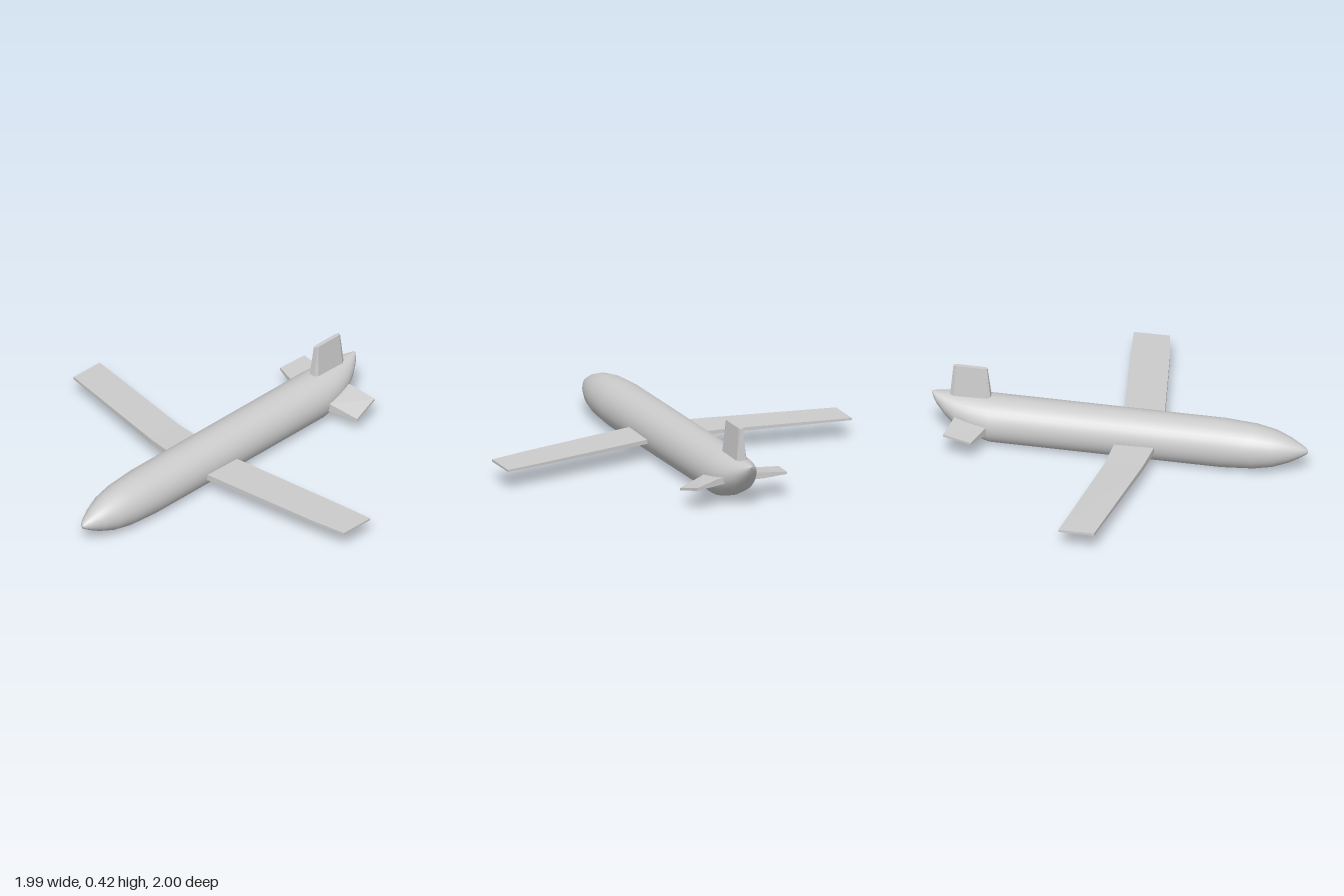
import * as THREE from 'three';

// Skin a list of rings (equal point counts) into a closed solid.
function loft(rings, name, flat) {
  const n = rings[0].length;
  const pts = rings.flat();
  const index = [];
  for (let r = 0; r < rings.length - 1; r++) {
    for (let i = 0; i < n; i++) {
      const j = (i + 1) % n, a = r * n, b = a + n;
      index.push(a + i, a + j, b + j, a + i, b + j, b + i);
    }
  }
  const last = (rings.length - 1) * n;
  for (let i = 1; i < n - 1; i++) {
    index.push(0, i + 1, i, last, last + i, last + i + 1);
  }
  // Turn the faces outward if the enclosed volume is negative.
  let volume = 0;
  const v = pts.map((p) => new THREE.Vector3(...p));
  for (let i = 0; i < index.length; i += 3) {
    volume += v[index[i]].dot(v[index[i + 1]].clone().cross(v[index[i + 2]]));
  }
  if (volume < 0) index.reverse();
  let geometry = new THREE.BufferGeometry();
  geometry.setAttribute('position', new THREE.Float32BufferAttribute(pts.flat(), 3));
  geometry.setIndex(index);
  if (flat) geometry = geometry.toNonIndexed();
  geometry.computeVertexNormals();
  const material = new THREE.MeshStandardMaterial({ color: 0xcccccc, flatShading: flat });
  const mesh = new THREE.Mesh(geometry, material);
  mesh.name = name;
  return mesh;
}

// Panel section at x: leading and trailing edges each given as z, bottom y, top y.
const panel = (x, zl, bl, tl, zt, bt, tt) => [[x, bl, zl], [x, tl, zl], [x, tt, zt], [x, bt, zt]];

export function createModel() {
  const group = new THREE.Group();
  group.name = 'winged body';

  // Fuselage: z, half width, bottom y, top y; the tail sweeps up to a flat back.
  const stations = [
    [1.0, 0.004, 0.129, 0.137], [0.99, 0.018, 0.115, 0.151], [0.96, 0.037, 0.096, 0.17],
    [0.9, 0.069, 0.064, 0.202], [0.82, 0.099, 0.034, 0.232], [0.72, 0.118, 0.015, 0.251],
    [0.55, 0.129, 0.004, 0.262], [0, 0.129, 0.004, 0.262], [-0.68, 0.129, 0.004, 0.262],
    [-0.78, 0.117, 0.034, 0.261], [-0.86, 0.096, 0.074, 0.26], [-0.92, 0.069, 0.126, 0.259],
    [-0.97, 0.037, 0.186, 0.258], [-0.99, 0.018, 0.222, 0.257], [-1.0, 0.004, 0.245, 0.255],
  ];
  const sides = 32;
  const rings = stations.map(([z, w, lo, hi]) =>
    Array.from({ length: sides }, (_, i) => {
      const a = (i / sides) * Math.PI * 2;
      return [w * Math.cos(a), (lo + hi) / 2 + ((hi - lo) / 2) * Math.sin(a), z];
    }));
  group.add(loft(rings, 'fuselage', false));

  // Main wings, gently swept back with slightly different bends on each side.
  group.add(loft([
    panel(0.04, 0.22, 0.1, 0.134, 0.0, 0.105, 0.128),
    panel(0.13, 0.207, 0.1, 0.134, -0.01, 0.105, 0.128),
    panel(0.8, 0.1, 0.106, 0.124, -0.108, 0.108, 0.122),
    panel(0.99, 0.06, 0.109, 0.122, -0.132, 0.109, 0.12),
  ], 'leftWing', true));
  group.add(loft([
    panel(-0.04, 0.22, 0.1, 0.134, 0.0, 0.105, 0.128),
    panel(-0.13, 0.207, 0.1, 0.134, -0.005, 0.105, 0.128),
    panel(-0.31, 0.186, 0.101, 0.13, -0.015, 0.105, 0.126),
    panel(-1.0, 0.07, 0.108, 0.123, -0.12, 0.109, 0.121),
  ], 'rightWing', true));

  // Tailplanes, pitched with the leading edge low.
  group.add(loft([
    panel(0.04, -0.665, 0.09, 0.142, -0.855, 0.135, 0.17),
    panel(0.13, -0.69, 0.09, 0.138, -0.866, 0.13, 0.165),
    panel(0.285, -0.735, 0.085, 0.1, -0.81, 0.102, 0.118),
    panel(0.286, -0.735, 0.085, 0.1, -0.81, 0.102, 0.118),
  ].slice(0, 2).concat([
    [[0.285, 0.085, -0.735], [0.285, 0.1, -0.735], [0.258, 0.14, -0.887], [0.258, 0.126, -0.887]],
  ]), 'leftTailplane', true));
  group.add(loft([
    panel(-0.04, -0.665, 0.09, 0.142, -0.855, 0.135, 0.17),
    panel(-0.13, -0.69, 0.095, 0.14, -0.866, 0.132, 0.165),
    [[-0.285, 0.128, -0.735], [-0.285, 0.14, -0.735], [-0.26, 0.157, -0.887], [-0.26, 0.145, -0.887]],
  ], 'rightTailplane', true));

  // Upright fin with chamfered leading and trailing edges.
  const finRing = (y, w, zf, zb, c) => [
    [w * 0.6, y, zf], [w, y, zf - c], [w, y, zb + c], [w * 0.6, y, zb],
    [-w * 0.6, y, zb], [-w, y, zb + c], [-w, y, zf - c], [-w * 0.6, y, zf],
  ];
  group.add(loft([
    finRing(0.2, 0.033, -0.68, -0.905, 0.02),
    finRing(0.26, 0.028, -0.686, -0.9, 0.02),
    finRing(0.428, 0.011, -0.706, -0.885, 0.015),
  ], 'tailFin', true));

  return group;
}
